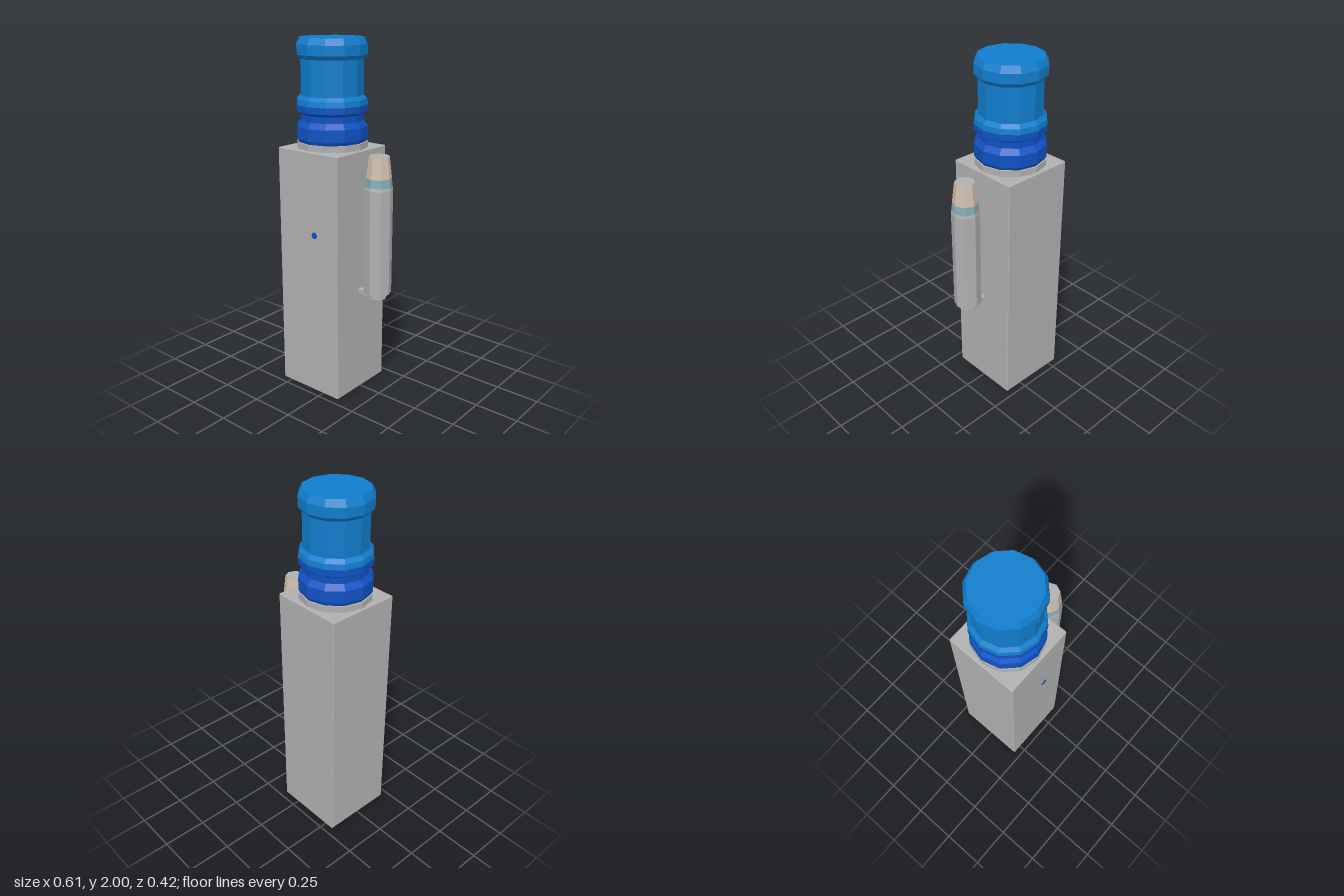
import * as THREE from 'three';
import { RoundedBoxGeometry } from 'three/addons/geometries/RoundedBoxGeometry.js';

function material(name, color) {
  const m = new THREE.MeshStandardMaterial({ color, flatShading: true });
  m.name = name;
  return m;
}

export function createModel() {
  const group = new THREE.Group();
  group.name = 'waterCooler';
  const grey = material('grey plastic', 0xb0b0b0);
  const blue = material('bottle blue', 0x107dcc);
  const darkBlue = material('deep blue', 0x0f52c2);
  const beige = material('paper cup beige', 0xd0beae);
  const teal = material('cup stripe teal', 0x82aeb6);

  const add = (name, geometry, mat, x, y = 0, z = 0) => {
    const mesh = new THREE.Mesh(geometry, mat);
    mesh.name = name;
    mesh.position.set(x, y, z);
    group.add(mesh);
  };
  // Faceted turned part from [radius, height] pairs, listed bottom to top
  const turned = (profile, sides) =>
    new THREE.LatheGeometry(profile.map(([r, y]) => new THREE.Vector2(r, y)), sides);

  const bodyX = -0.097, cupX = 0.228;

  // Cabinet with finely softened edges
  add('cabinet', new RoundedBoxGeometry(0.42, 1.416, 0.42, 2, 0.006), grey, bodyX, 0.708);

  // Tap button on the front
  const button = new THREE.CylinderGeometry(0.019, 0.019, 0.006, 8);
  button.rotateX(Math.PI / 2);
  add('button', button, darkBlue, -0.048, 0.957, 0.211);

  // Collar and water bottle
  add('collar', turned([[0.197, 1.41], [0.197, 1.45], [0, 1.45]], 12), grey, bodyX);
  add('bottleLowerRings', turned([
    [0, 1.445], [0.185, 1.445], [0.197, 1.468], [0.197, 1.535], [0.173, 1.565],
    [0.173, 1.6], [0.197, 1.615], [0.197, 1.65],
  ], 12), darkBlue, bodyX);
  add('bottle', turned([
    [0.197, 1.65], [0.193, 1.68], [0.173, 1.7], [0.173, 1.89],
    [0.193, 1.912], [0.193, 1.965], [0.175, 2], [0, 2],
  ], 12), blue, bodyX);

  // Cup dispenser on the side
  add('cupBracket', new THREE.BoxGeometry(0.12, 0.025, 0.052), grey, 0.168, 0.613);
  add('cupHolder', turned([
    [0, 0.602], [0.053, 0.602], [0.053, 0.635], [0.077, 0.635],
    [0.077, 1.225], [0.073, 1.24],
  ], 8), grey, cupX);
  add('cupStripe', turned([[0.073, 1.24], [0.069, 1.287]], 8), teal, cupX);
  add('cup', turned([[0.069, 1.287], [0.055, 1.405]], 8), beige, cupX);
  add('cupBase', turned([[0.055, 1.405], [0, 1.405]], 8), grey, cupX);

  return group;
}
